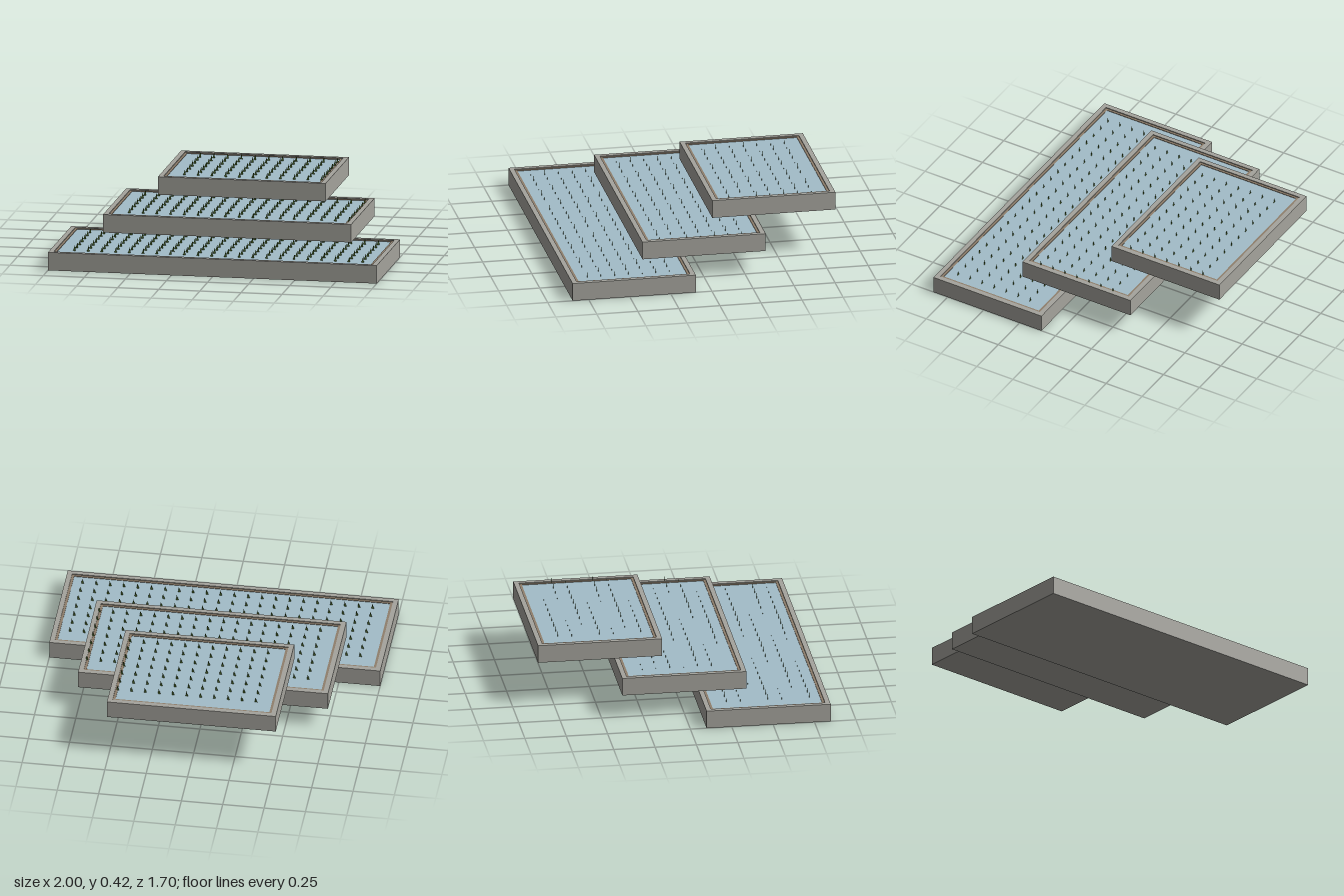
import * as THREE from 'three';
import { mergeGeometries } from 'three/addons/utils/BufferGeometryUtils.js';

const material = (name, color, side = THREE.FrontSide) => {
  const m = new THREE.MeshStandardMaterial({ color, side });
  m.name = name;
  return m;
};

const HEIGHT = 0.11, DEPTH = 0.75, RIM = 0.03, MUD = 0.015, STEP = 0.0835;

export function createModel() {
  const stone = material('stone', 0xa5a49d);
  const mud = material('mud', 0x8f7f6c);
  const water = material('water', 0xa3bdc8);
  const leaf = material('riceLeaf', 0x4c6b2c, THREE.DoubleSide);

  const add = (parent, name, geometry, mat, y = 0) => {
    const mesh = new THREE.Mesh(geometry, mat);
    mesh.name = name;
    mesh.position.y = y;
    parent.add(mesh);
  };

  const rectangle = (Type, w, d) => {
    const points = [[-1, -1], [1, -1], [1, 1], [-1, 1]];
    return new Type(points.map(([x, y]) => new THREE.Vector2(x * w / 2, y * d / 2)));
  };

  // Rectangular frame of given outer size, wall thickness and height
  const frame = (w, d, wall, h) => {
    const shape = rectangle(THREE.Shape, w, d);
    shape.holes.push(rectangle(THREE.Path, w - 2 * wall, d - 2 * wall));
    return new THREE.ExtrudeGeometry(shape, { depth: h, bevelEnabled: false }).rotateX(-Math.PI / 2);
  };

  // Rows of upright, flat, slightly leaning blades
  const seedlings = (w) => {
    const blades = [];
    for (let x = -w / 2 + 0.14; x < w / 2 - 0.03; x += STEP) {
      for (let z = -DEPTH / 2 + 0.14; z < DEPTH / 2 - 0.03; z += STEP) {
        const blade = new THREE.Shape([
          new THREE.Vector2(-0.008, 0), new THREE.Vector2(0.008, 0), new THREE.Vector2(0.004, 0.036),
        ]);
        blades.push(new THREE.ShapeGeometry(blade).translate(x, 0, z));
      }
    }
    return mergeGeometries(blades);
  };

  const terrace = (name, w, y, z) => {
    const tier = new THREE.Group();
    tier.name = name;
    tier.position.set(0, y, z);
    const floor = HEIGHT - 0.03;
    const innerW = w - 2 * RIM, innerD = DEPTH - 2 * RIM;
    // Stone tray: solid base with a raised rim
    add(tier, 'trayBase', new THREE.BoxGeometry(w, floor, DEPTH), stone, floor / 2);
    add(tier, 'trayRim', frame(w, DEPTH, RIM, HEIGHT - floor), stone, floor);
    // Mud edging around the flooded field
    add(tier, 'mudEdge', frame(innerW, innerD, MUD, 0.025), mud, floor);
    add(tier, 'waterSurface',
      new THREE.BoxGeometry(innerW - 2 * MUD, 0.022, innerD - 2 * MUD), water, floor + 0.011);
    add(tier, 'riceSeedlings', seedlings(w), leaf, floor + 0.022);
    return tier;
  };

  const model = new THREE.Group();
  model.name = 'terracedRiceField';
  model.add(
    terrace('lowerTerrace', 2, 0, 0.473),
    terrace('middleTerrace', 1.51, 0.14, 0),
    terrace('upperTerrace', 1.02, 0.28, -0.473),
  );
  return model;
}
